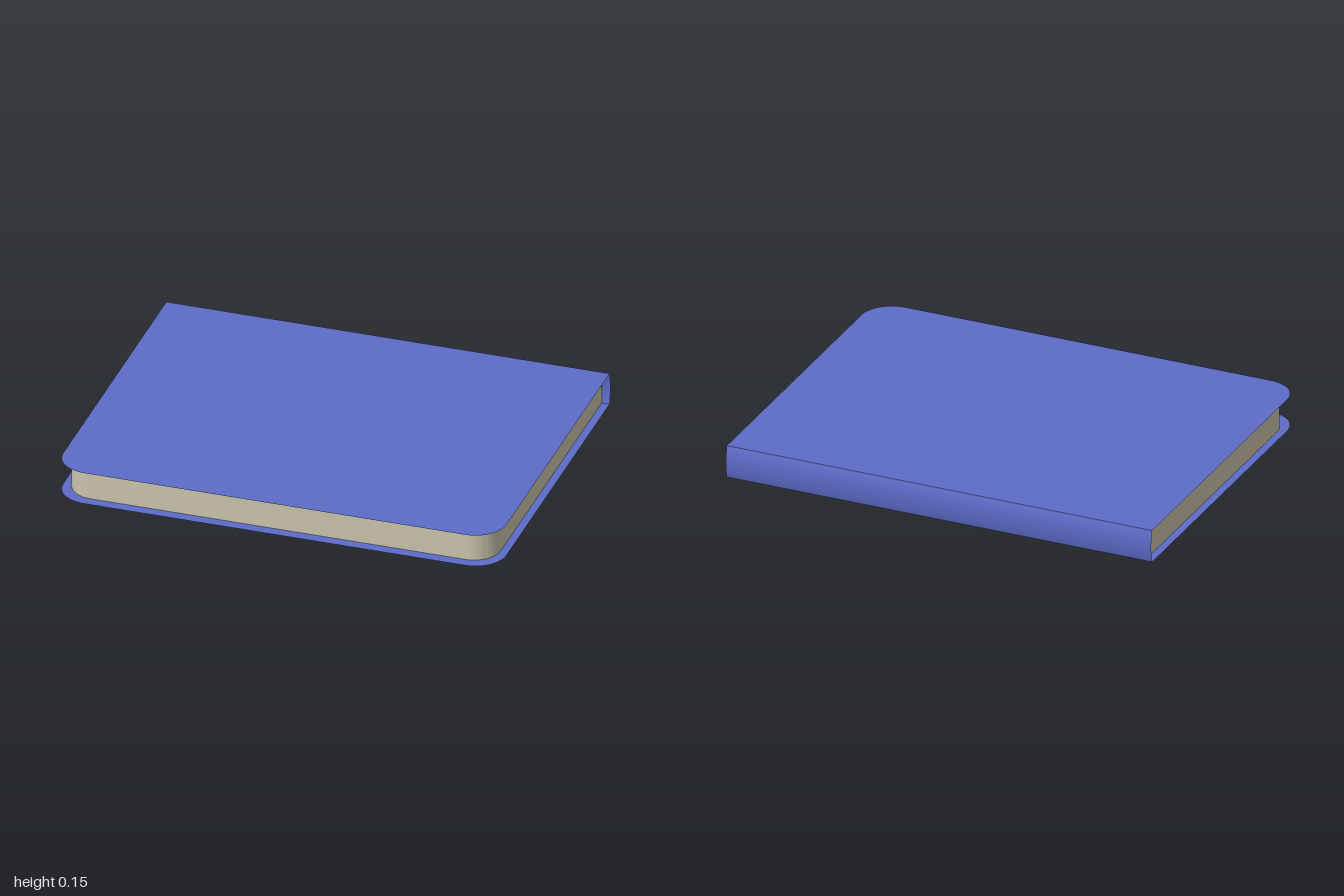
import * as THREE from 'three';
import { toCreasedNormals } from 'three/addons/utils/BufferGeometryUtils.js';

const HEIGHT = 0.15, BACK = -0.765, FRONT = 0.775, BULGE = 0.011;

// Outline with square corners at the back and rounded ones at the front (shape y = -z)
function outline(halfWidth, front, radius) {
  const s = new THREE.Shape();
  s.moveTo(halfWidth, -BACK);
  s.lineTo(-halfWidth, -BACK);
  s.lineTo(-halfWidth, -front + radius);
  s.absarc(-halfWidth + radius, -front + radius, radius, Math.PI, Math.PI * 1.5, false);
  s.lineTo(halfWidth - radius, -front);
  s.absarc(halfWidth - radius, -front + radius, radius, Math.PI * 1.5, Math.PI * 2, false);
  s.closePath();
  return s;
}

export function createModel() {
  const book = new THREE.Group();
  book.name = 'book';

  const coverBlue = new THREE.MeshStandardMaterial({ color: 0x5c6bc8, side: THREE.DoubleSide });
  coverBlue.name = 'cover blue';
  const paperCream = new THREE.MeshStandardMaterial({ color: 0xcac4ab });
  paperCream.name = 'paper cream';

  const add = (name, geometry, material) => {
    const mesh = new THREE.Mesh(geometry, material);
    mesh.name = name;
    book.add(mesh);
    return mesh;
  };

  // Two sheet-thin covers
  const coverGeometry = new THREE.ShapeGeometry(outline(1, FRONT, 0.14), 8).rotateX(-Math.PI / 2);
  add('bottomCover', coverGeometry, coverBlue);
  add('topCover', coverGeometry, coverBlue).position.y = HEIGHT;

  // Spine, bowed slightly outwards
  const spine = new THREE.PlaneGeometry(2, HEIGHT, 1, 10).rotateY(Math.PI);
  const p = spine.attributes.position;
  for (let i = 0; i < p.count; i++) {
    const t = p.getY(i) / (HEIGHT / 2);
    p.setZ(i, BACK - BULGE * (1 - t * t));
  }
  spine.translate(0, HEIGHT / 2, 0);
  spine.computeVertexNormals();
  add('spine', spine, coverBlue);

  // Page block, set in from the covers on three sides
  const pages = new THREE.ExtrudeGeometry(outline(0.965, 0.727, 0.12), {
    depth: HEIGHT - 0.002, bevelEnabled: false, curveSegments: 8,
  }).rotateX(-Math.PI / 2).translate(0, 0.001, 0);
  add('pages', toCreasedNormals(pages, 0.6), paperCream);

  return book;
}
